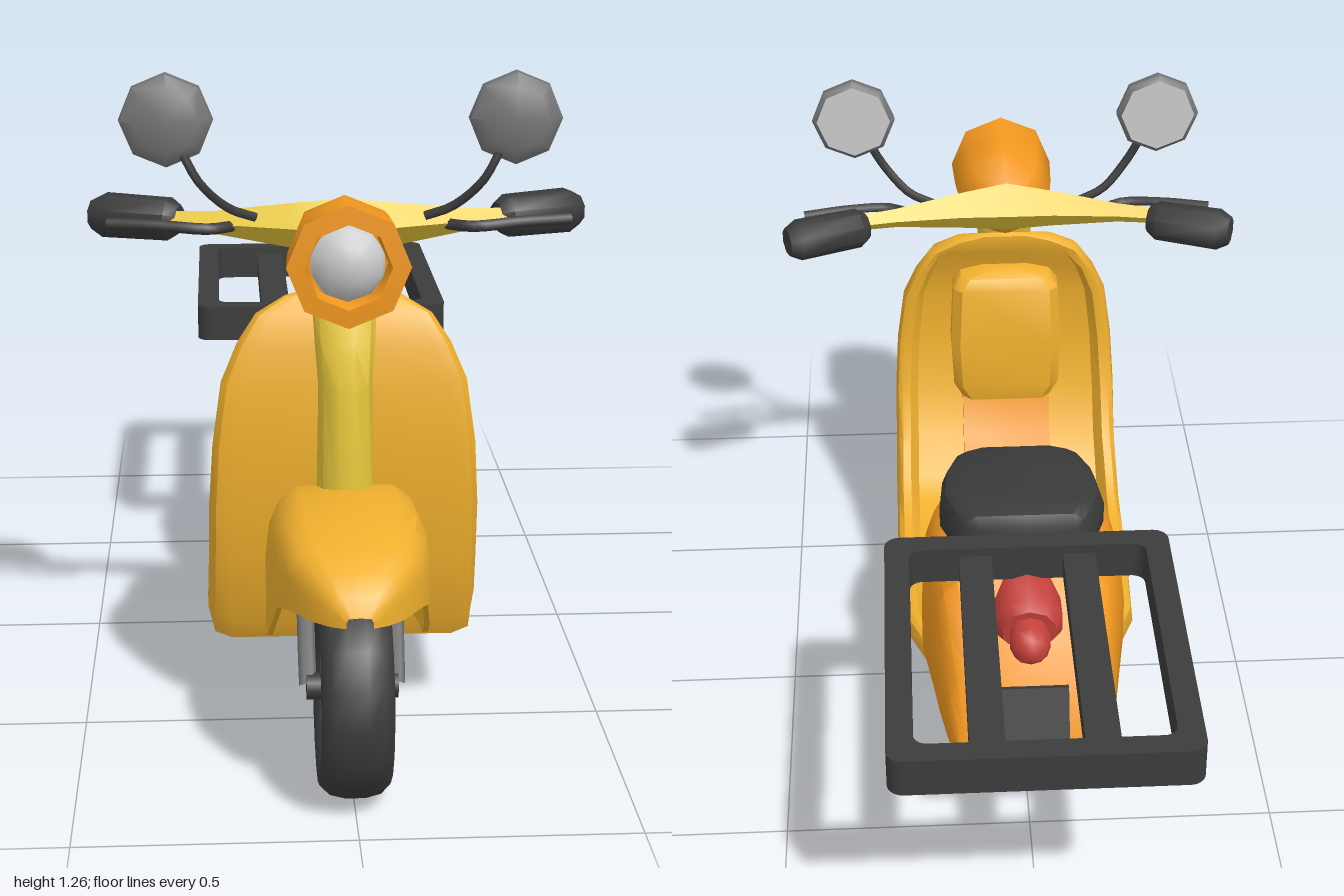
import * as THREE from 'three';
import { toCreasedNormals } from 'three/addons/utils/BufferGeometryUtils.js';

const mat = (color) => new THREE.MeshStandardMaterial({ color });
const yellow = mat(0xf0b02e), orange = mat(0xf3981f), paleYellow = mat(0xe8c83c), black = mat(0x3c3c3c);
const darkGrey = mat(0x777777), silver = mat(0xbdbdbd), red = mat(0xc4403a);
const V = (x, y, z) => new THREE.Vector3(x, y, z);

export function createModel() {
  const model = new THREE.Group();

  function add(name, geometry, material, parent = model) {
    const mesh = new THREE.Mesh(geometry, material);
    mesh.name = name;
    parent.add(mesh);
    return mesh;
  }

  // Skin closed rings of Vector3; faces are turned outward by the sign of the volume
  function loft(rings, { caps = true, crease = 0.65 } = {}) {
    const n = rings[0].length, pts = rings.flat(), index = [];
    for (let i = 0; i < rings.length - 1; i++) for (let j = 0; j < n; j++) {
      const a = i * n + j, b = i * n + (j + 1) % n;
      index.push(a, b, b + n, a, b + n, a + n);
    }
    if (caps) [0, rings.length - 1].forEach((r, end) => {
      const c = pts.length;
      pts.push(rings[r].reduce((s, p) => s.add(p), V(0, 0, 0)).divideScalar(n));
      for (let j = 0; j < n; j++) {
        const a = r * n + j, b = r * n + (j + 1) % n;
        index.push(...(end ? [a, b, c] : [b, a, c]));
      }
    });
    let volume = 0;
    for (let i = 0; i < index.length; i += 3)
      volume += pts[index[i]].dot(pts[index[i + 1]].clone().cross(pts[index[i + 2]]));
    if (volume < 0) index.reverse();
    const g = new THREE.BufferGeometry().setFromPoints(pts);
    g.setIndex(index);
    return toCreasedNormals(g, crease);
  }

  // Half section listed from one centre line to the other, mirrored into a full ring
  const mirrored = (half) => [...half, ...half.slice(1, -1).reverse().map(([u, v]) => [-u, v])];
  const lathe = (points, sides, crease = 0.9) => toCreasedNormals(
    new THREE.LatheGeometry(points.map(([r, y]) => new THREE.Vector2(r, y)), sides), crease);
  const tube = (points, r) => new THREE.TubeGeometry(new THREE.CatmullRomCurve3(points), 12, r, 6);

  // Leg shield and floor in one sweep: outer z,y / inner z,y / half width / depth of recess
  const shieldStations = [
    [.475, .87, .465, .865, .05, 0], [.50, .857, .465, .85, .11, 0], [.52, .825, .475, .82, .165, 0],
    [.535, .77, .482, .77, .2, .35], [.548, .7, .49, .7, .23, .4], [.555, .58, .495, .58, .247, .4],
    [.547, .45, .47, .46, .255, .35], [.53, .33, .42, .36, .257, .3], [.50, .21, .36, .3, .26, .25],
    [.48, .17, .3, .265, .26, .25], [.25, .165, .22, .247, .26, .25], [.1, .167, .1, .24, .258, .25],
    [-.08, .168, -.08, .24, .25, .25], [-.2, .17, -.2, .24, .2, .2], [-.25, .18, -.25, .235, .15, 0],
    [-.27, .2, -.27, .215, .11, 0]];
  add('legShieldAndFloor', loft(shieldStations.map(([zo, yo, zi, yi, w, d]) =>
    mirrored([[0, 0], [.82, 0], [.95, .08], [1, .4], [.98, .9], [.94, 1], [.87, 1], [.8, 1 - d], [0, 1 - d]])
      .map(([u, t]) => V(u * w, yo + (yi - yo) * t, zo + (zi - zo) * t)))), yellow);

  // Raised strip along the middle of the floor
  const stripStations = [[.54, .66, .488, .66], [.54, .5, .475, .5], [.51, .36, .425, .37], [.42, .22, .35, .3],
    [.28, .19, .26, .26], [.12, .19, .12, .245], [-.1, .19, -.1, .245]];
  add('floorStrip', loft(stripStations.map(([zo, yo, zi, yi]) =>
    [V(-.1, yo, zo), V(.1, yo, zo), V(.1, yi, zi), V(-.1, yi, zi)])), orange);

  // Glove box behind the shield
  const boxStations = [[.78, .475, .05], [.765, .45, .1], [.74, .435, .118], [.6, .43, .125], [.5, .422, .12], [.46, .43, .1]];
  add('gloveBox', loft(boxStations.map(([y, z, w]) =>
    [V(-w, y, .51), V(w, y, .51), V(w, y, z + .02), V(w - .02, y, z), V(.02 - w, y, z), V(-w, y, z + .02)])), yellow);

  // Rear body and seat: z, bottom, top, half width
  const hull = (stations, half) => loft(stations.map(([z, yb, yt, w]) =>
    mirrored(half).map(([u, v]) => V(u * w, yb + (yt - yb) * v, z))));
  add('rearBody', hull([
    [.07, .3, .42, .09], [.06, .27, .475, .125], [.02, .25, .525, .165], [-.1, .245, .55, .205], [-.25, .24, .552, .21],
    [-.37, .23, .54, .19], [-.43, .225, .48, .18], [-.5, .22, .4, .165], [-.545, .22, .3, .15], [-.572, .22, .23, .14]],
  [[0, 0], [.93, 0], [1, .12], [1, .45], [.96, .72], [.87, .9], [.72, .98], [0, 1]]), orange);
  add('seat', hull([
    [.05, .53, .565, .06], [.04, .515, .583, .09], [0, .51, .6, .135], [-.08, .515, .617, .16],
    [-.2, .53, .64, .168], [-.28, .54, .655, .145], [-.312, .545, .65, .125], [-.325, .56, .63, .11]],
  [[0, 0], [.9, 0], [1, .2], [1, .6], [.93, .88], [.78, 1], [0, 1]]), black);

  // Front fender: an open arch with thickness
  const arch = mirrored([[0, 1], [.6, .99], [.82, .9], [.95, .74], [1, .5], [1, 0], [.93, 0], [.93, .5], [.78, .85], [0, .94]]);
  const fenderMaterial = yellow.clone();
  fenderMaterial.side = THREE.DoubleSide;
  add('frontFender', loft([
    [1, .4, .42, .025], [.985, .398, .45, .05], [.95, .394, .48, .08], [.88, .388, .502, .117], [.8, .36, .515, .135],
    [.72, .29, .52, .146], [.65, .245, .518, .15], [.56, .23, .507, .15], [.5, .225, .49, .14]].map(([z, yb, yt, w]) =>
    arch.map(([u, v]) => V(u * w, yb + (yt - yb) * v, z))), { caps: false }), fenderMaterial);

  // Steering column
  add('steeringColumn', loft([[.45, .56, .054, .052], [.7, .56, .05, .052], [.78, .55, .056, .046],
    [.85, .525, .06, .04], [.94, .49, .05, .04]].map(([y, z, rx, rz]) =>
    Array.from({ length: 10 }, (_, i) => V(rx * Math.cos(i * Math.PI / 5), y, z + rz * Math.sin(i * Math.PI / 5))))), paleYellow);

  // Headlight
  add('headlightHousing', lathe([[0, .435], [.05, .44], [.085, .48], [.104, .53], [.108, .58], [.112, .67],
    [.078, .672], [.072, .635], [0, .635]], 8).rotateX(Math.PI / 2), orange).position.y = .948;
  add('headlightLens', lathe([[.07, .635], [.062, .652], [.035, .668], [0, .675]], 10, 1.2).rotateX(Math.PI / 2), silver)
    .position.y = .948;

  // Handlebar with a tapering diamond section
  const barStations = [[.4, .97, .325, .014, .012], [.24, .969, .365, .022, .02], [.1, .968, .395, .042, .036], [0, .966, .412, .056, .05]];
  const barRing = ([x, y, z, hy, hz], s) => [V(x * s, y + hy, z), V(x * s, y, z + hz), V(x * s, y - hy, z), V(x * s, y, z - hz)];
  add('handlebar', loft([...barStations.map((b) => barRing(b, -1)), ...barStations.slice(0, 3).reverse().map((b) => barRing(b, 1))],
    { crease: .5 }), paleYellow);

  // Grips, levers, mirrors and fork arms on both sides
  for (const s of [1, -1]) {
    const side = s > 0 ? 'left' : 'right';
    const grip = add(side + 'Grip', lathe([[0, -.09], [.028, -.09], [.042, -.07], [.044, .065], [.03, .09], [0, .09]], 8), black);
    grip.position.set(s * .388, .968, .3);
    grip.quaternion.setFromUnitVectors(V(0, 1, 0), V(s * .93, 0, -.36).normalize());
    add(side + 'BrakeLever', tube([V(s * .2, .965, .38), V(s * .25, .967, .418), V(s * .34, .972, .405), V(s * .44, .972, .38)], .011), black);
    add(side + 'MirrorStem', tube([V(s * .16, .985, .4), V(s * .21, 1.005, .412), V(s * .265, 1.06, .44),
      V(s * .295, 1.115, .44), V(s * .315, 1.15, .435)], .009), black);
    const mirror = new THREE.Group();
    mirror.name = side + 'Mirror';
    mirror.position.set(s * .325, 1.175, .435);
    add('mirrorShell', lathe([[.078, -.024], [.088, -.015], [.086, .005], [.06, .022], [0, .026]], 8).rotateX(Math.PI / 2), darkGrey, mirror);
    add('mirrorGlass', lathe([[0, -.024], [.078, -.024]], 8).rotateX(Math.PI / 2), silver, mirror);
    model.add(mirror);
    add(side + 'ForkArm', tube([V(s * .08, .205, .79), V(s * .081, .26, .755), V(s * .082, .38, .69)], .016), darkGrey);
  }

  // Wheels
  for (const [name, z] of [['frontWheel', .79], ['rearWheel', -.31]]) {
    const wheel = new THREE.Group();
    wheel.name = name;
    wheel.position.set(0, .203, z);
    add('tyre', lathe([[.132, -.045], [.15, -.062], [.175, -.064], [.193, -.046], [.2, -.018], [.2, .018], [.193, .046],
      [.175, .064], [.15, .062], [.132, .045], [.128, 0], [.132, -.045]], 18).rotateZ(Math.PI / 2), black, wheel);
    add('rim', lathe([[.112, -.048], [.135, -.052], [.135, .052], [.112, .048], [.112, -.048]], 24).rotateZ(Math.PI / 2), darkGrey, wheel);
    add('hub', new THREE.CylinderGeometry(.045, .045, .1, 14).rotateZ(Math.PI / 2), black, wheel);
    add('axle', new THREE.CylinderGeometry(.024, .024, .165, 10).rotateZ(Math.PI / 2), black, wheel);
    for (let i = 0; i < 12; i++) for (const s of [1, -1]) {
      const spoke = new THREE.CylinderGeometry(.005, .005, .085, 5).translate(0, .08, 0);
      add('spoke', spoke.translate(s * .034, 0, 0).rotateX((i + .25 * s) * Math.PI / 6), silver, wheel);
    }
    model.add(wheel);
  }

  // Luggage rack
  const rounded = (path, w, h, r) => {
    path.absarc(w - r, h - r, r, 0, Math.PI / 2);
    path.absarc(r - w, h - r, r, Math.PI / 2, Math.PI);
    path.absarc(r - w, r - h, r, Math.PI, Math.PI * 1.5);
    path.absarc(w - r, r - h, r, Math.PI * 1.5, Math.PI * 2);
    return path;
  };
  const rack = new THREE.Group();
  rack.name = 'luggageRack';
  rack.position.set(0, .548, -.67);
  const frame = rounded(new THREE.Shape(), .28, .33, .03);
  frame.holes.push(rounded(new THREE.Path(), .232, .285, .025));
  add('rackFrame', new THREE.ExtrudeGeometry(frame, { depth: .077, bevelEnabled: false, curveSegments: 4 }).rotateX(-Math.PI / 2), black, rack);
  for (const s of [1, -1])
    add('rackSlat', new THREE.BoxGeometry(.064, .045, .6), black, rack).position.set(s * .102, .036, 0);
  model.add(rack);

  // Tail light and rear plate
  const tail = new THREE.Group();
  tail.name = 'tailLight';
  tail.position.set(0, .485, -.41);
  tail.rotation.x = -.15;
  add('tailLightBase', lathe([[0, -.06], [.068, -.06], [.07, .035], [.055, .055], [0, .055]], 10).rotateX(-Math.PI / 2), red, tail);
  add('tailLightBulb', lathe([[.038, .04], [.042, .085], [.034, .11], [.018, .125], [0, .128]], 10, 1.1).rotateX(-Math.PI / 2), red, tail);
  model.add(tail);
  const plate = add('rearPlate', new THREE.BoxGeometry(.15, .14, .022), black);
  plate.position.set(0, .315, -.543);
  plate.rotation.x = .4;

  return model;
}
